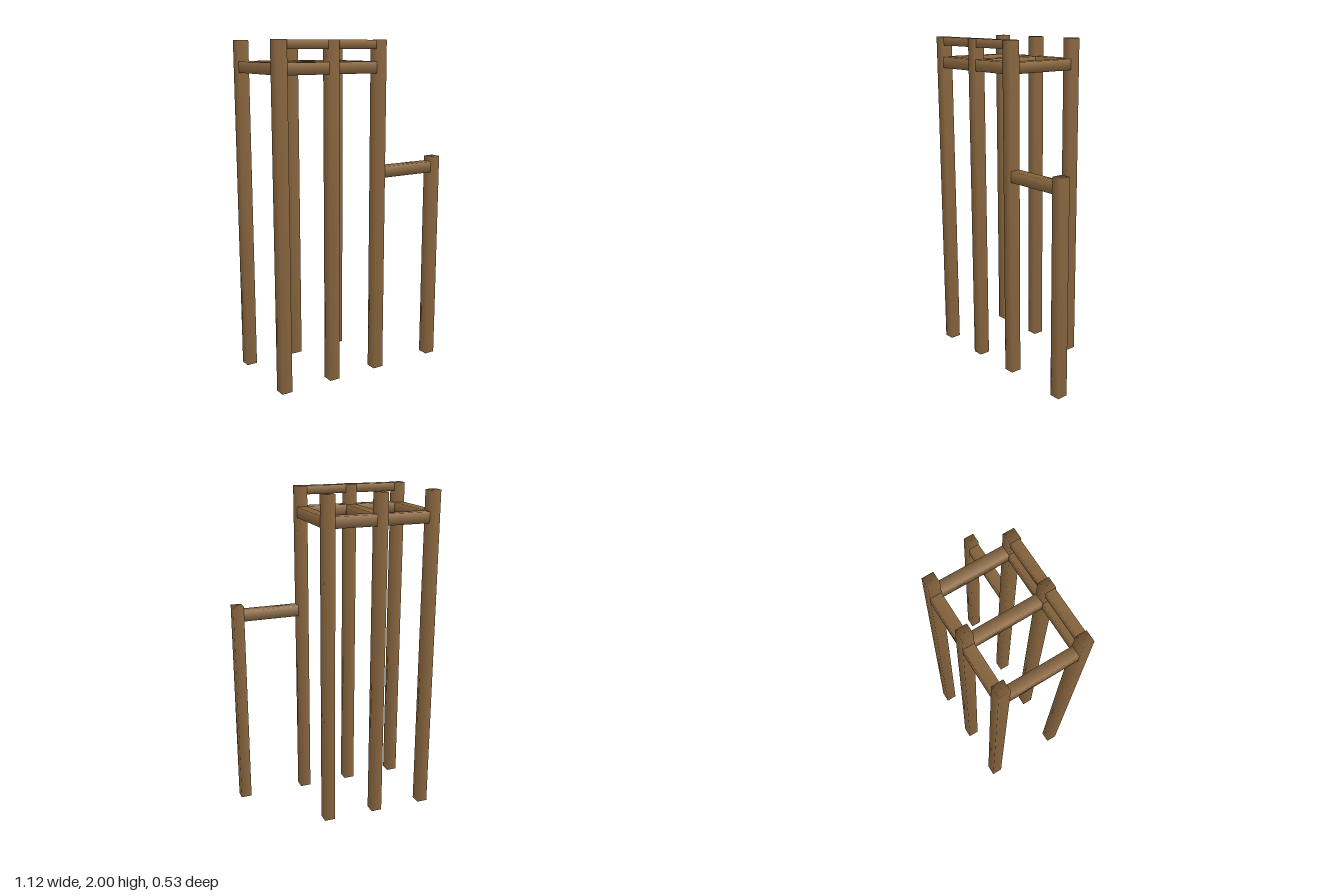
import * as THREE from 'three';
import { mergeVertices } from 'three/addons/utils/BufferGeometryUtils.js';

const T = 0.066;              // timber thickness
const Z = 0.233;              // front and back row offset
const XS = [-0.53, -0.204, 0.114];
const SHORT_X = 0.528;

// Square timber whose corners share one soft normal
function timber(name, size, pos, material) {
  const box = new THREE.BoxGeometry(...size);
  box.deleteAttribute('normal');
  box.deleteAttribute('uv');
  const geometry = mergeVertices(box);
  // outward diagonal across the long axis, with a slight tilt along it
  const p = geometry.attributes.position;
  const long = size.indexOf(Math.max(...size));
  const normals = [];
  for (let i = 0; i < p.count; i++) {
    const n = [p.getX(i), p.getY(i), p.getZ(i)].map((c, a) => Math.sign(c) * (a === long ? 0.1 : 1));
    normals.push(...new THREE.Vector3(...n).normalize().toArray());
  }
  geometry.setAttribute('normal', new THREE.Float32BufferAttribute(normals, 3));
  const mesh = new THREE.Mesh(geometry, material);
  mesh.name = name;
  mesh.position.set(...pos);
  return mesh;
}

export function createModel() {
  const model = new THREE.Group();
  model.name = 'timberFrame';
  const wood = new THREE.MeshStandardMaterial({ color: 0x8f6b42 });
  wood.name = 'brown wood';
  const add = (...args) => model.add(timber(...args, wood));

  // Six tall posts and the cross rails joining each pair
  for (const x of XS) {
    add('frontPost', [T, 2, T], [x, 1, Z]);
    add('backPost', [T, 2, T], [x, 1, -Z]);
    add('crossRail', [T - 0.002, T - 0.002, 2 * Z + T - 0.004], [x, 1.847, 0]);
  }

  // Long rails, ending just inside the outer posts
  const mid = (XS[0] + XS[2]) / 2;
  const span = XS[2] - XS[0] + T - 0.004;
  for (const z of [Z, -Z]) add('longRail', [span, T, T - 0.001], [mid, 1.847, z]);
  add('topFrontRail', [span, 0.05, 0.052], [mid, 1.9745, Z]);

  // Short side post and its rail
  add('shortPost', [T, 1.3, T], [SHORT_X, 0.65, Z]);
  add('sideRail', [SHORT_X - XS[2], T, T - 0.001], [(SHORT_X + XS[2]) / 2, 1.237, Z]);
  return model;
}
